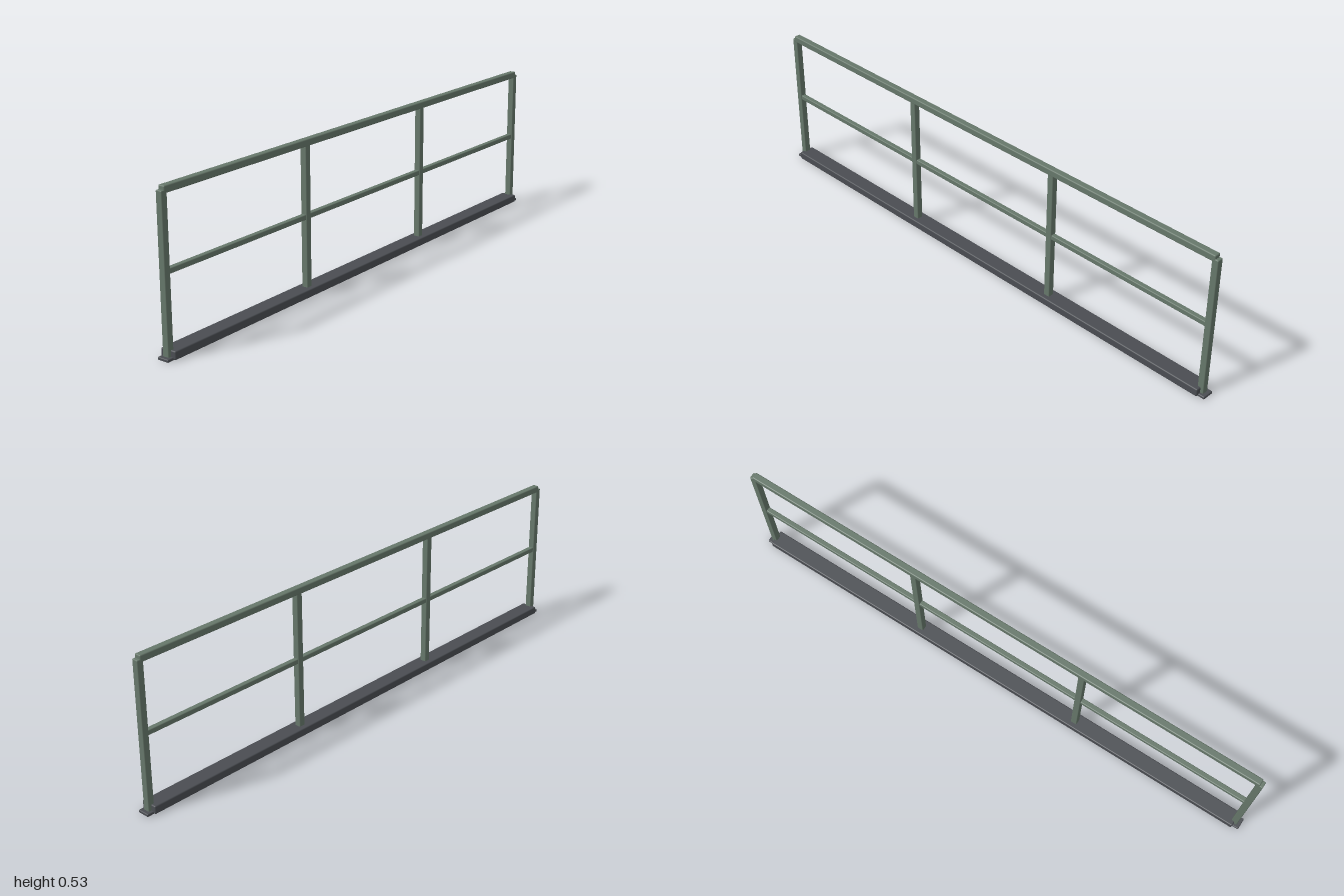
import * as THREE from 'three';
import { RoundedBoxGeometry } from 'three/addons/geometries/RoundedBoxGeometry.js';

export function createModel() {
  const model = new THREE.Group();
  model.name = 'railing';
  const green = new THREE.MeshStandardMaterial({ color: 0x66776a });
  const grey = new THREE.MeshStandardMaterial({ color: 0x4a4d52 });

  // bar with softened edges, placed by its centre x and its bottom and top
  function bar(name, material, x, bottom, top, width, depth, bevel) {
    const geometry = new RoundedBoxGeometry(width, top - bottom, depth, 2, bevel);
    const mesh = new THREE.Mesh(geometry, material);
    mesh.name = name;
    mesh.position.set(x, (bottom + top) / 2, 0);
    model.add(mesh);
  }

  // long horizontal members
  const length = 1.953;
  bar('baseCurb', grey, 0, 0.002, 0.03, length, 0.058, 0.004);
  bar('middleRail', green, 0, 0.261, 0.279, length, 0.018, 0.003);
  bar('topRail', green, 0, 0.504, 0.528, length, 0.024, 0.004);

  // four evenly spaced posts, each on a foot plate
  for (let i = 0; i < 4; i++) {
    const x = -0.976 + i * (1.952 / 3);
    bar('post', green, x, 0.003, 0.515, 0.023, 0.023, 0.003);
    bar('footPlate', grey, x, 0, 0.01, 0.048, 0.042, 0.003);
  }
  return model;
}
